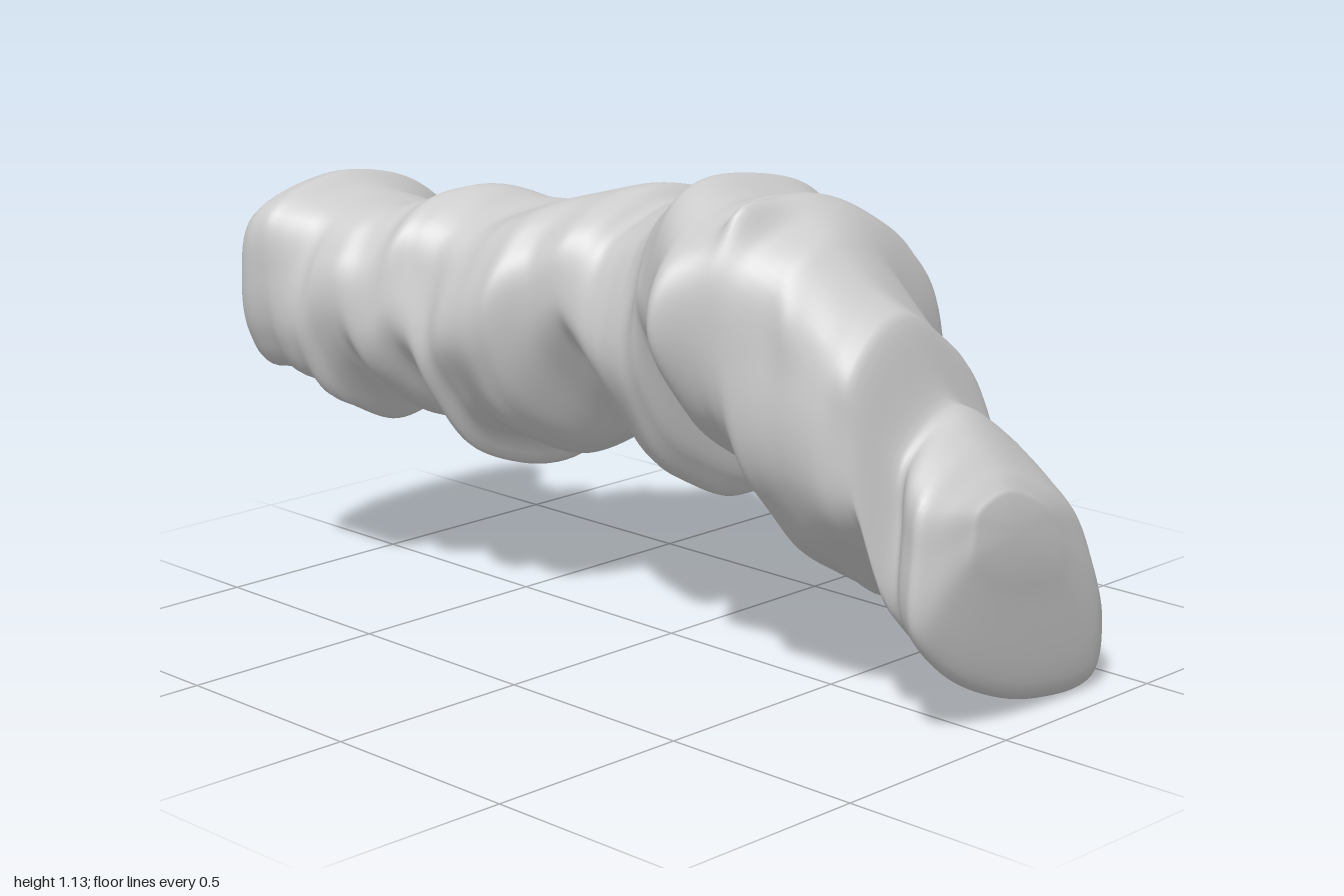
import * as THREE from 'three';

// Silhouette heights along the body: z, top, bottom
const HEIGHTS = [
  [0.99, 0.54, 0.38], [0.97, 0.57, 0.23], [0.94, 0.60, 0.05], [0.91, 0.63, 0.0], [0.86, 0.67, 0.01], [0.797, 0.71, 0.04],
  [0.785, 0.79, 0.08], [0.772, 0.89, 0.28], [0.70, 0.95, 0.25], [0.60, 1.06, 0.21], [0.50, 1.12, 0.17],
  [0.47, 1.13, 0.31], [0.42, 1.12, 0.38], [0.36, 1.10, 0.40], [0.24, 1.14, 0.39], [0.18, 1.10, 0.50],
  [0.15, 1.08, 0.58], [0.13, 1.07, 0.40], [0.08, 1.05, 0.32], [0.0, 1.03, 0.36], [-0.05, 1.01, 0.44],
  [-0.09, 1.05, 0.50], [-0.13, 1.05, 0.58], [-0.25, 1.02, 0.42], [-0.31, 1.0, 0.37], [-0.40, 0.97, 0.40],
  [-0.45, 0.98, 0.37], [-0.48, 1.0, 0.28], [-0.52, 1.01, 0.42], [-0.56, 1.0, 0.50], [-0.60, 0.97, 0.43],
  [-0.64, 0.97, 0.42], [-0.68, 0.96, 0.52], [-0.73, 0.97, 0.47], [-0.78, 0.98, 0.40], [-0.82, 0.99, 0.52],
  [-0.89, 1.02, 0.55], [-0.95, 1.01, 0.54], [-0.97, 0.99, 0.55],
];

// Silhouette widths along the body: z, right edge (-x), left edge (+x)
const WIDTHS = [
  [0.99, -0.09, 0.15], [0.96, -0.17, 0.36], [0.92, -0.23, 0.44], [0.86, -0.20, 0.44], [0.82, -0.15, 0.42],
  [0.795, -0.19, 0.32], [0.77, -0.24, 0.27], [0.70, -0.28, 0.26], [0.60, -0.30, 0.25], [0.57, -0.31, 0.31],
  [0.52, -0.33, 0.42], [0.45, -0.36, 0.39], [0.36, -0.39, 0.36], [0.28, -0.34, 0.34], [0.25, -0.32, 0.38],
  [0.10, -0.24, 0.42], [0.0, -0.22, 0.40], [-0.05, -0.22, 0.39], [-0.10, -0.23, 0.42], [-0.20, -0.27, 0.43],
  [-0.26, -0.34, 0.42], [-0.33, -0.35, 0.44], [-0.37, -0.35, 0.49], [-0.42, -0.35, 0.43], [-0.46, -0.34, 0.35],
  [-0.53, -0.36, 0.36], [-0.56, -0.38, 0.20], [-0.66, -0.42, 0.18], [-0.69, -0.43, 0.06], [-0.80, -0.45, 0.07],
  [-0.88, -0.48, 0.13], [-0.94, -0.49, 0.16], [-0.97, -0.48, 0.15],
];

// Cross-sections in a unit box, clockwise from the top as seen from the front
const LEAF = [[.33, 1], [.6, .88], [.82, .68], [.93, .45], [1, .2], [.96, 0], [.65, 0], [.35, .11], [.15, .25], [.02, .42], [.02, .68], [.06, .88]];
const SLANT = [[.25, 1], [.6, .97], [.82, .85], [.9, .6], [.97, .33], [.95, .07], [.74, .02], [.45, .13], [.25, .25], [.1, .4], [0, .62], [.05, .88]];
const ROUND = [[.4, 1], [.7, .94], [.91, .78], [1, .5], [.98, .25], [.82, .05], [.52, 0], [.27, .1], [.1, .28], [0, .5], [.03, .75], [.15, .92]];
const FLANGE = [[.33, 1], [.56, .95], [.74, .8], [.86, .6], [1, .32], [.86, .05], [.55, 0], [.27, .12], [.1, .28], [0, .5], [.03, .75], [.12, .92]];
const TAIL = [[.35, 1.03], [.62, .99], [.8, .89], [.95, .72], [1, .5], [.96, .3], [.8, .17], [.52, .06], [.17, 0], [.05, .2], [0, .52], [.04, .88]];
const KEYS = [
  [1, LEAF], [0.72, LEAF], [0.32, SLANT], [0.24, SLANT], [0.05, ROUND], [-0.42, ROUND],
  [-0.52, FLANGE], [-0.6, FLANGE], [-0.7, ROUND], [-0.76, ROUND], [-0.88, TAIL], [-1.1, TAIL],
];

// Local points on the skin: z, position around the section (0-12), length along z, spread around, height
const BUMPS = [
  [0.47, 11.5, 0.03, 0.32, 0.10], [0.36, 10.0, 0.05, 0.9, 0.12], [0.62, 10.6, 0.03, 0.4, 0.04],
  [0.75, 10.4, 0.03, 0.5, 0.04], [0.06, 4.6, 0.04, 0.4, 0.05], [-0.76, 3.6, 0.025, 0.4, 0.10],
];

const SIDES = 96, ROWS = 260, FRONT = 0.99, BACK = -0.965;

// Index of the table interval holding z, and the fraction within it
function locate(table, z) {
  let i = 0;
  while (i < table.length - 2 && z < table[i + 1][0]) i++;
  const f = (table[i][0] - z) / (table[i][0] - table[i + 1][0]);
  return [i, Math.min(1, Math.max(0, f))];
}

// Table value at z, softened over a short distance
function sample(table, col, z) {
  let sum = 0;
  for (const d of [-0.012, -0.006, 0, 0.006, 0.012]) {
    const [i, f] = locate(table, z + d);
    sum += THREE.MathUtils.lerp(table[i][col], table[i + 1][col], f);
  }
  return sum / 5;
}

// Smooth cross-section at z, stretched to fill the unit box
function section(z) {
  const [i, f] = locate(KEYS, z);
  const a = KEYS[i][1], b = KEYS[i + 1][1];
  const pts = a.map((p, k) => new THREE.Vector3(
    THREE.MathUtils.lerp(p[0], b[k][0], f), THREE.MathUtils.lerp(p[1], b[k][1], f), 0));
  const curve = new THREE.CatmullRomCurve3(pts, true, 'centripetal');
  const ring = Array.from({ length: SIDES }, (_, j) => curve.getPoint(j / SIDES));
  const box = new THREE.Box3().setFromPoints(ring);
  const size = box.getSize(new THREE.Vector3());
  return ring.map(p => [(p.x - box.min.x) / size.x, (p.y - box.min.y) / size.y]);
}

// Outward swelling of the skin from the local points
function swell(z, t) {
  return BUMPS.reduce((sum, [bz, bt, length, spread, height]) => {
    const around = Math.abs(t - bt), d = Math.min(around, 12 - around) / spread;
    return sum + height * Math.exp(-(((z - bz) / length) ** 2) - d * d);
  }, 1);
}

function bodyGeometry() {
  const pos = [], index = [];

  // One ring of the body; inset shrinks it toward its centre for the end cap
  const addRing = (z, inset, dz) => {
    const x0 = sample(WIDTHS, 1, z), x1 = sample(WIDTHS, 2, z);
    const y1 = sample(HEIGHTS, 1, z), y0 = sample(HEIGHTS, 2, z);
    const lean = 0.055 * THREE.MathUtils.smoothstep(-z, 0.8, 0.95);
    const inner = THREE.MathUtils.smoothstep(0.9 - Math.abs(z), 0, 0.15);
    section(z).forEach(([u, v], j) => {
      const a = j / SIDES * Math.PI * 2;
      // Shallow folds that wander around the body
      const fold = 1 + inner * (0.014 * Math.sin(3 * a + 9 * z) + 0.012 * Math.sin(7 * a - 14 * z));
      const s = inset * fold * swell(z, j / SIDES * 12);
      pos.push((x0 + x1) / 2 + (u - 0.5) * s * (x1 - x0),
        Math.max(0, (y0 + y1) / 2 + (v - 0.5) * s * (y1 - y0)),
        z + dz + lean * (v - 0.5) * inset);
    });
  };

  for (let i = 0; i <= ROWS; i++) addRing(THREE.MathUtils.lerp(FRONT, BACK, i / ROWS), 1, 0);
  // Softly rounded, nearly flat end
  for (const [inset, dz] of [[0.98, -0.006], [0.94, -0.010], [0.86, -0.010], [0.65, -0.004], [0.35, 0]]) addRing(BACK, inset, dz);

  const rings = pos.length / 3 / SIDES;
  for (let i = 0; i < rings - 1; i++) {
    for (let j = 0; j < SIDES; j++) {
      const a = i * SIDES + j, b = i * SIDES + (j + 1) % SIDES;
      index.push(a, b, a + SIDES, b, b + SIDES, a + SIDES);
    }
  }

  // Close both ends
  const front = pos.length / 3, last = (rings - 1) * SIDES;
  pos.push(0.03, 0.46, 1.0, -0.165, 0.77, BACK);
  for (let j = 0; j < SIDES; j++) {
    const k = (j + 1) % SIDES;
    index.push(front, k, j, front + 1, last + j, last + k);
  }

  const geo = new THREE.BufferGeometry();
  geo.setAttribute('position', new THREE.Float32BufferAttribute(pos, 3));
  geo.setIndex(index);
  geo.computeVertexNormals();
  return geo;
}

export function createModel() {
  const group = new THREE.Group();
  group.name = 'foldedTube';
  const body = new THREE.Mesh(bodyGeometry(), new THREE.MeshStandardMaterial({ color: 0xcccccc }));
  body.name = 'segmentedBody';
  group.add(body);
  return group;
}
